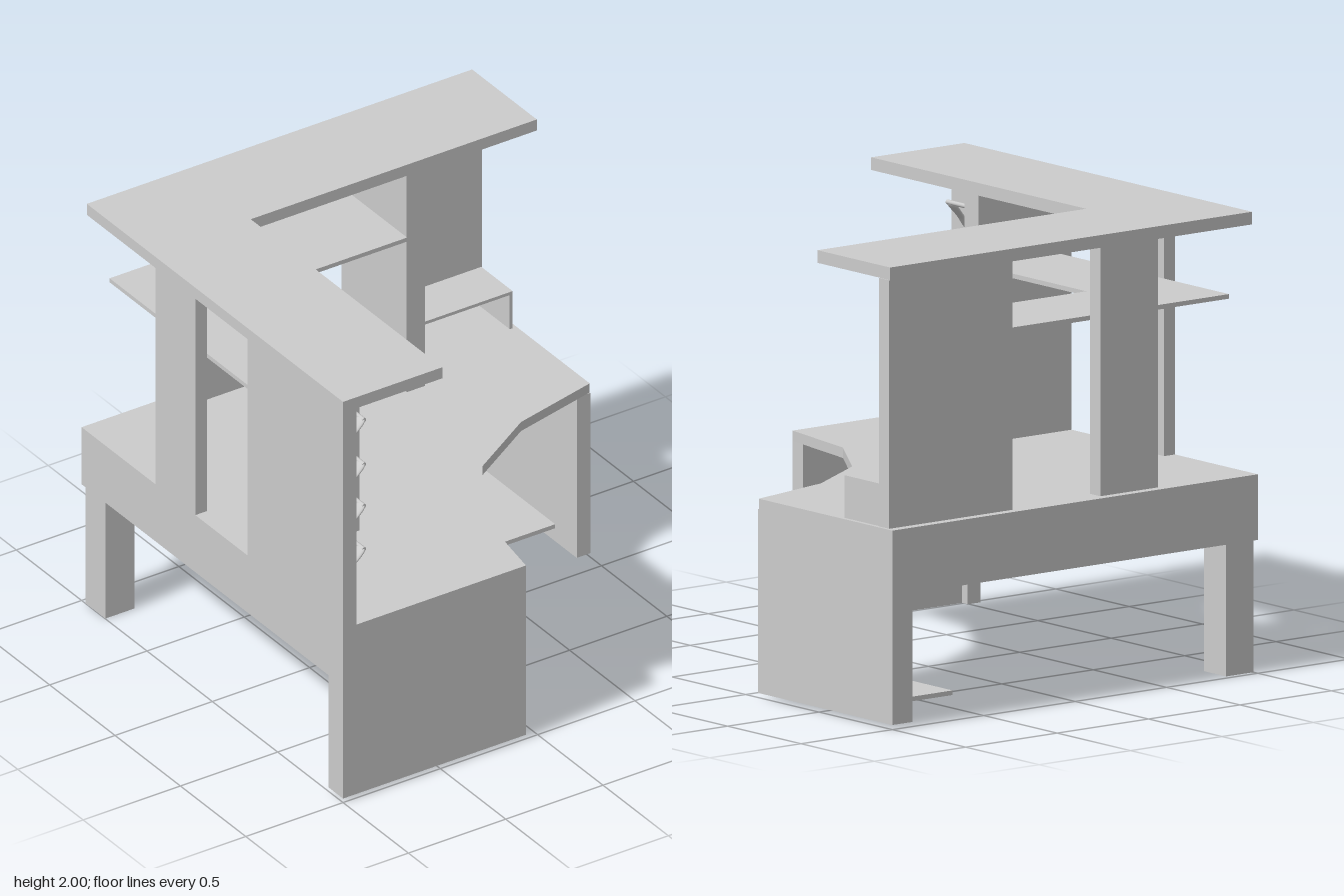
import * as THREE from 'three';

const material = new THREE.MeshStandardMaterial({ color: 0xcccccc });

export function createModel() {
  const model = new THREE.Group();
  model.name = 'cornerDeskWithHutch';

  function add(parent, name, geometry) {
    const mesh = new THREE.Mesh(geometry, material);
    mesh.name = name;
    parent.add(mesh);
    return mesh;
  }

  // Box given by its limits on each axis
  function box(name, [x0, x1], [y0, y1], [z0, z1]) {
    const mesh = add(model, name, new THREE.BoxGeometry(x1 - x0, y1 - y0, z1 - z0));
    mesh.position.set((x0 + x1) / 2, (y0 + y1) / 2, (z0 + z1) / 2);
  }

  // Horizontal board from an outline of [x, z] points
  function board(name, outline, y0, y1) {
    const shape = new THREE.Shape(outline.map(([x, z]) => new THREE.Vector2(x, -z)));
    const geometry = new THREE.ExtrudeGeometry(shape, { depth: y1 - y0, bevelEnabled: false });
    geometry.rotateX(-Math.PI / 2);
    add(model, name, geometry).position.y = y0;
  }

  // Desk: worktop with a faceted concave front edge
  board('worktop', [
    [-1, -1], [1, -1], [1, -0.09], [0.58, 0.01], [0.24, 0.22],
    [0.01, 0.57], [-0.06, 1], [-1, 1],
  ], 0.82, 0.865);

  // Desk: end panels, aprons, narrow legs and corner leg
  box('frontEndPanel', [-1, -0.06], [0.02, 0.82], [0.93, 1]);
  box('leftEndPanel', [0.93, 1], [0.02, 0.82], [-1, -0.085]);
  box('backApron', [-1, 0.93], [0.58, 0.82], [-1, -0.93]);
  box('sideApron', [-1, -0.93], [0.58, 0.82], [-0.93, 0.93]);
  box('backLeg', [0.89, 0.93], [0.02, 0.58], [-1, -0.93]);
  box('sideLeg', [-1, -0.93], [0.02, 0.58], [0.89, 0.93]);
  box('cornerLeg', [-0.999, -0.85], [0, 0.81], [-0.97, -0.82]);
  box('lowShelf', [0.59, 0.93], [0.085, 0.105], [-0.9, -0.25]);

  // Hutch: L-shaped roof and shelf
  board('hutchRoof', [
    [-1, -0.96], [0.98, -0.96], [0.98, -0.465], [-0.49, -0.465], [-0.49, 1], [-1, 1],
  ], 1.945, 2);
  board('hutchShelf', [
    [-0.93, -0.89], [0.31, -0.89], [0.31, -0.46], [-0.495, -0.46], [-0.495, 0.27], [-0.93, 0.27],
  ], 1.62, 1.64);

  // Hutch: uprights
  const tall = [0.865, 1.945];
  box('sideWall', [-1, -0.93], tall, [0.365, 1]);
  box('sideDivider', [-1, -0.49], tall, [0.27, 0.365]);
  box('sideSupport', [-1, -0.94], tall, [-0.435, -0.13]);
  box('backSupport', [-0.485, -0.17], tall, [-0.96, -0.89]);
  box('backDivider', [0.31, 0.405], tall, [-0.96, -0.465]);
  box('backWall', [0.405, 0.985], tall, [-0.96, -0.89]);

  // Small raised shelf with its end support
  box('raisedShelf', [0.405, 0.98], [1.035, 1.05], [-0.89, -0.65]);
  box('raisedShelfSupport', [0.965, 0.98], [0.865, 1.035], [-0.89, -0.65]);

  // Sloping racks: two flattened, waisted arms joined by a thin bar
  const profile = new THREE.SplineCurve([
    [0, -0.095], [0.024, -0.085], [0.033, -0.06], [0.024, 0], [0.029, 0.06], [0.024, 0.085], [0, 0.095],
  ].map(([r, y]) => new THREE.Vector2(r, y))).getPoints(18);
  profile.forEach((p) => { p.x = Math.max(p.x, 0); });
  const armGeometry = new THREE.LatheGeometry(profile, 20);
  const barGeometry = new THREE.CylinderGeometry(0.01, 0.01, 0.41, 12).rotateX(Math.PI / 2);
  for (const y of [1.077, 1.293, 1.5, 1.722]) {
    const rack = new THREE.Group();
    rack.name = 'wallRack';
    rack.position.set(-0.868, y, 0.677);
    rack.rotation.z = -0.72;
    for (const side of [-1, 1]) {
      const arm = add(rack, 'rackArm', armGeometry);
      arm.position.z = side * 0.185;
      arm.scale.x = 0.4;
    }
    add(rack, 'rackBar', barGeometry).position.y = 0.085;
    model.add(rack);
  }

  return model;
}
